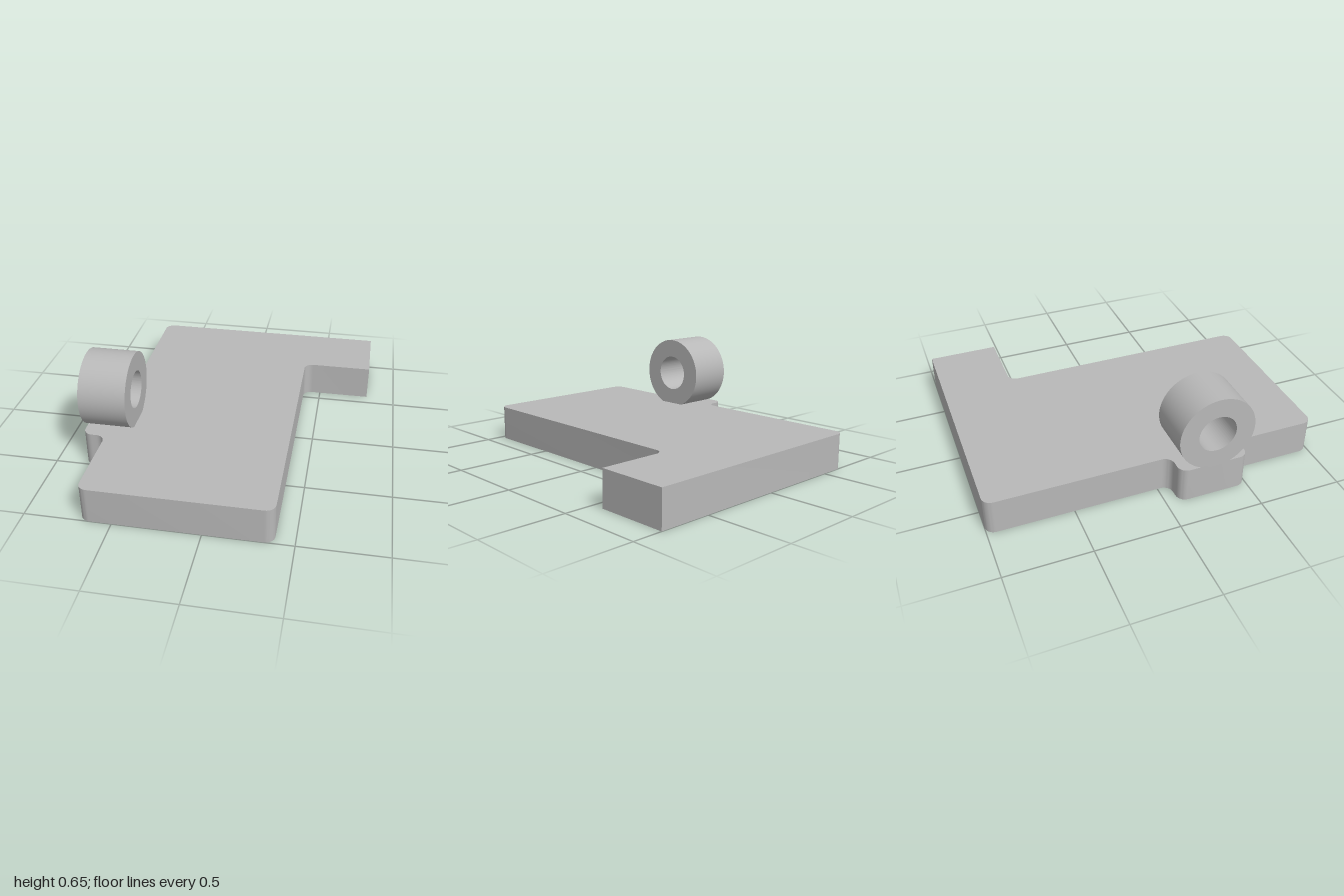
import * as THREE from 'three';
import { toCreasedNormals } from 'three/addons/utils/BufferGeometryUtils.js';

const PLATE_HEIGHT = 0.215;
const CORNER = 0.055;

// Polygon whose right-angled corners [x, y, radius] are rounded by quarter arcs.
function roundedOutline(corners, steps = 10) {
  const points = [];
  corners.forEach(([x, y, r], i) => {
    const p = new THREE.Vector2(x, y);
    if (!r) return points.push(p);
    const n = corners.length;
    const toPrev = new THREE.Vector2(...corners[(i + n - 1) % n].slice(0, 2)).sub(p).normalize();
    const toNext = new THREE.Vector2(...corners[(i + 1) % n].slice(0, 2)).sub(p).normalize();
    const centre = p.clone().addScaledVector(toPrev, r).addScaledVector(toNext, r);
    for (let s = 0; s <= steps; s++) {
      const t = (s / steps) * Math.PI / 2;
      points.push(centre.clone()
        .addScaledVector(toNext, -r * Math.cos(t))
        .addScaledVector(toPrev, -r * Math.sin(t)));
    }
  });
  return new THREE.Shape(points);
}

function extrude(shape, depth, curveSegments = 12) {
  return new THREE.ExtrudeGeometry(shape, { depth, curveSegments, bevelEnabled: false });
}

export function createModel() {
  const model = new THREE.Group();
  model.name = 'hingePlate';
  const grey = new THREE.MeshStandardMaterial({ color: 0xb8b8b8 });
  grey.name = 'grey';

  // Base plate with a side arm at the back and a small tab under the ring;
  // the outline is drawn as (x, -z) and laid flat.
  const outline = roundedOutline([
    [-0.68, -1, CORNER], [0.39, -1, CORNER],
    [0.39, 0.575, CORNER], [0.82, 0.575, 0],
    [0.82, 1, 0], [-0.68, 1, CORNER],
    [-0.68, -0.075, CORNER], [-0.82, -0.075, CORNER],
    [-0.82, -0.495, CORNER], [-0.68, -0.495, CORNER],
  ]);
  const plateGeometry = extrude(outline, PLATE_HEIGHT).rotateX(-Math.PI / 2);
  const plate = new THREE.Mesh(toCreasedNormals(plateGeometry, 0.5), grey);
  plate.name = 'basePlate';
  model.add(plate);

  // Hinge ring, its axis along x, sunk slightly into the plate.
  const profile = new THREE.Shape().absarc(0, 0, 0.227, 0, Math.PI * 2, false);
  profile.holes.push(new THREE.Path().absarc(0, 0, 0.113, 0, Math.PI * 2, true));
  const ringGeometry = extrude(profile, 0.28, 64).rotateY(Math.PI / 2);
  const ring = new THREE.Mesh(toCreasedNormals(ringGeometry, 0.5), grey);
  ring.name = 'hingeRing';
  ring.position.set(-0.82, 0.425, 0.285);
  model.add(ring);

  return model;
}
